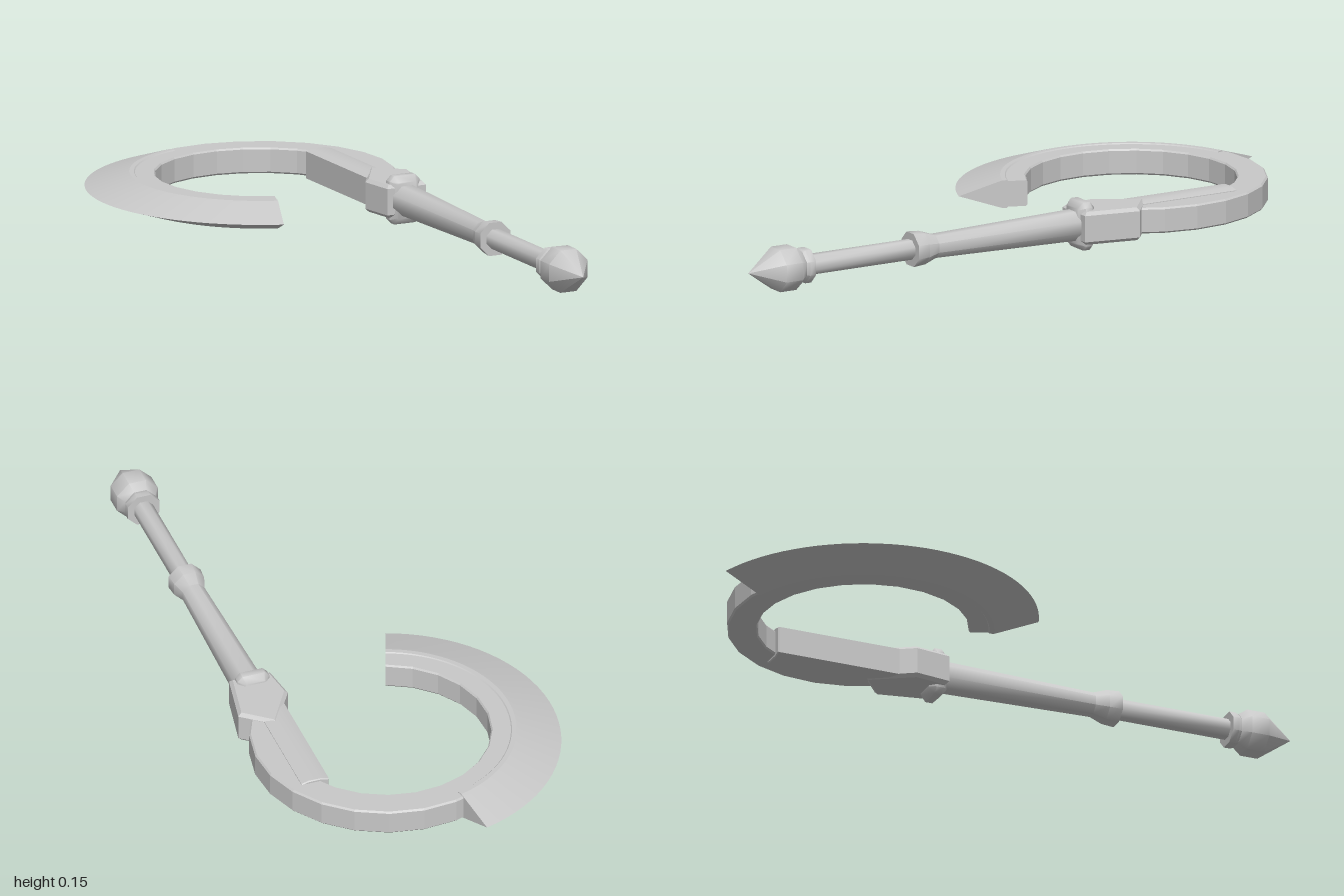
import * as THREE from 'three';
import { toCreasedNormals } from 'three/addons/utils/BufferGeometryUtils.js';

const MID = 0.073;                          // height of the weapon's centre plane
const HANDLE_X = 0.347;
const HOOK = { x: 0.057, z: -0.501 };       // centre of the hook's curve
const rad = THREE.MathUtils.degToRad;

export function createModel() {
  const steel = new THREE.MeshStandardMaterial({ color: 0xc8c8c8 });
  steel.name = 'light steel grey';
  const group = new THREE.Group();
  group.name = 'hookedWeapon';

  const add = (name, geometry, x = 0, z = 0) => {
    const mesh = new THREE.Mesh(geometry, steel);
    mesh.name = name;
    mesh.position.set(x, MID, z);
    group.add(mesh);
  };

  const shapeOf = (pts) => new THREE.Shape(pts.map(([x, y]) => new THREE.Vector2(x, y)));

  // Eight-sided turned part along z, profile given as [z, distance to flat side]
  const turned = (profile) => {
    const pts = profile.map(([z, r]) => new THREE.Vector2(r / Math.cos(Math.PI / 8), z));
    const g = new THREE.LatheGeometry(pts, 8, Math.PI / 8).rotateX(Math.PI / 2);
    return toCreasedNormals(g, 0.8);
  };

  // Cross-section of [radius, height] points bent along an arc
  const arcSweep = (section, from, to, steps, crease) => {
    const g = new THREE.ExtrudeGeometry(shapeOf(section), { depth: 1, steps, bevelEnabled: false });
    const p = g.attributes.position;
    for (let i = 0; i < p.count; i++) {
      const r = p.getX(i);
      const a = rad(from + (to - from) * p.getZ(i));
      p.setXYZ(i, r * Math.cos(a), p.getY(i), r * Math.sin(a));
    }
    return toCreasedNormals(g, crease);
  };

  // Straight chamfered block, centred on its depth
  const block = (pts, depth, bevel, crease) => {
    const g = new THREE.ExtrudeGeometry(shapeOf(pts), {
      depth: depth - 2 * bevel, bevelThickness: bevel, bevelSize: bevel, bevelOffset: -bevel, bevelSegments: 1,
    });
    g.translate(0, 0, bevel - depth / 2);
    return toCreasedNormals(g, crease);
  };

  // Hook ring, faceted, with narrow chamfers
  add('hookRing', arcSweep([
    [0.313, -0.034], [0.317, -0.039], [0.398, -0.039], [0.403, -0.034],
    [0.403, 0.034], [0.398, 0.039], [0.317, 0.039], [0.313, 0.034],
  ], 110, 392, 19, 0.1), HOOK.x, HOOK.z);

  // Crescent blade with a raised lip and a sharp outer edge
  add('blade', arcSweep([
    [0.37, -0.038], [0.374, -0.042], [0.388, -0.042], [0.402, -0.038], [0.52, 0],
    [0.402, 0.038], [0.388, 0.042], [0.374, 0.042], [0.37, 0.038],
  ], 110, 254.6, 36, 0.2), HOOK.x, HOOK.z);

  // Grip with its collar, thin rod and ring under the pommel
  add('handle', turned([
    [-0.15, 0], [-0.15, 0.045], [0.36, 0.034], [0.4, 0.047], [0.44, 0.05], [0.44, 0.029],
    [0.795, 0.029], [0.795, 0.05], [0.815, 0.05], [0.83, 0.044], [0.84, 0.044], [0.84, 0],
  ]), HANDLE_X);

  // Pointed pommel
  add('pommel', turned([
    [0.825, 0], [0.825, 0.047], [0.85, 0.064], [0.905, 0.064], [1, 0],
  ]), HANDLE_X);

  // Roof-topped arm running on past the guard beside the ring
  add('arm', block([
    [-0.043, -0.041], [-0.02, -0.047], [0.02, -0.047], [0.043, -0.041],
    [0.043, 0.041], [0.02, 0.047], [-0.02, 0.047], [-0.043, 0.041],
  ], 0.54, 0.003, 0.5), 0.338, -0.4);

  // Guard block with chamfered edges
  const guard = block([
    [0.283, -0.125], [0.267, -0.235], [0.35, -0.37], [0.444, -0.295], [0.412, -0.125],
  ], 0.1, 0.01, 0.3);
  add('guard', guard.rotateX(Math.PI / 2));

  // Gem-like stud passing through the guard, showing above and below
  add('guardStud', block([
    [-0.035, -0.073], [0.035, -0.073], [0.05, -0.058], [0.05, 0.058],
    [0.035, 0.073], [-0.035, 0.073], [-0.05, 0.058], [-0.05, -0.058],
  ], 0.056, 0.017, 0.8), HANDLE_X, -0.148);

  return group;
}
